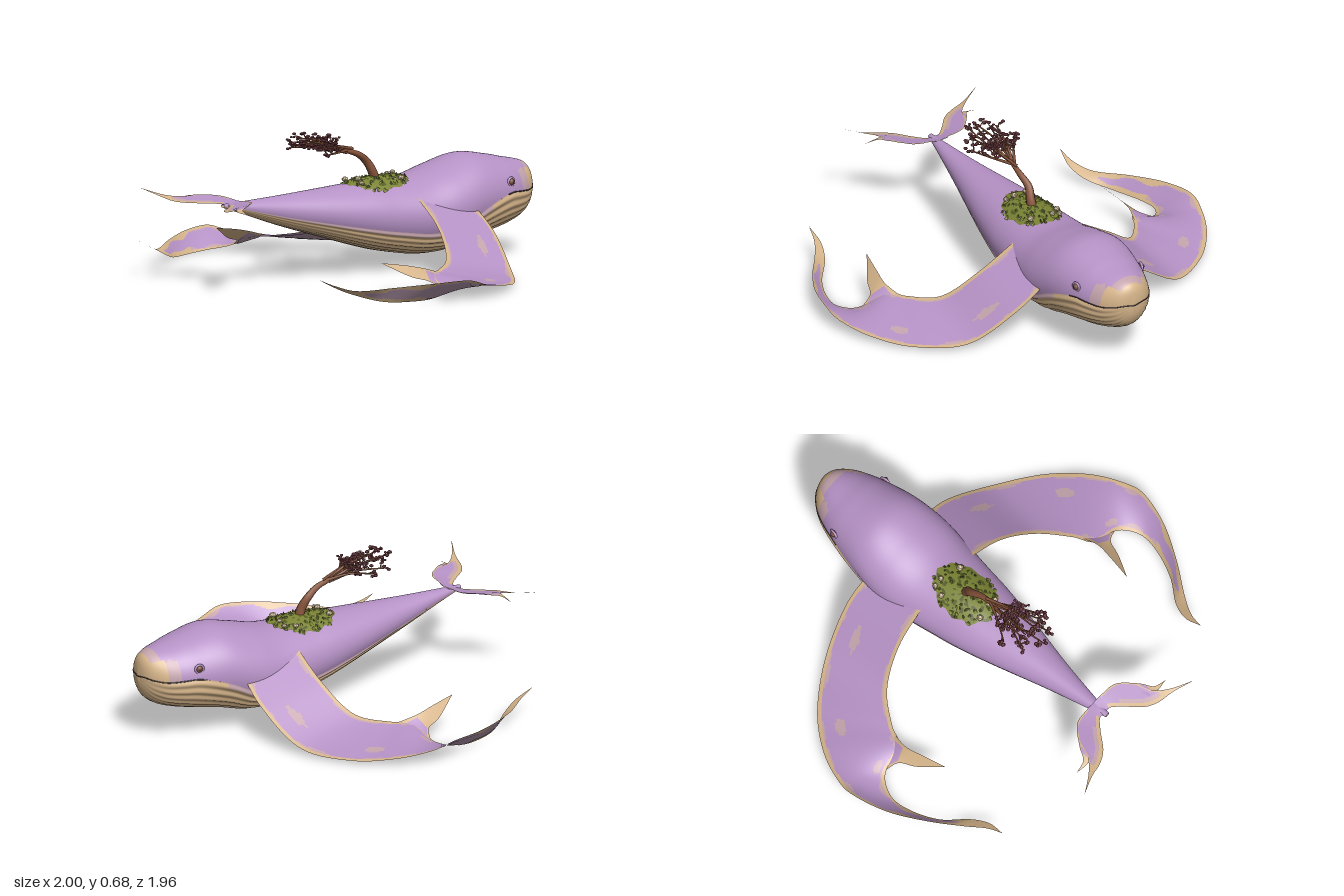
import * as THREE from 'three';
import { mergeGeometries } from 'three/addons/utils/BufferGeometryUtils.js';

const V = (x, y, z) => new THREE.Vector3(x, y, z);
const material = (name, color, side = THREE.FrontSide) => Object.assign(new THREE.MeshStandardMaterial({ color, side }), { name });
const spline = (pts) => new THREE.CatmullRomCurve3(pts.map((p) => V(...p)), false, 'catmullrom', 0.5);

// Surface over a u/v grid; pick(u, v) chooses the material index of each cell.
function sheet(nu, nv, point, pick = () => 0) {
  const pos = [], cells = [];
  for (let i = 0; i <= nu; i++) for (let j = 0; j <= nv; j++) pos.push(...point(i / nu, j / nv).toArray());
  for (let i = 0; i < nu; i++) for (let j = 0; j < nv; j++) {
    const a = i * (nv + 1) + j, b = a + nv + 1, m = pick((i + 0.5) / nu, (j + 0.5) / nv);
    (cells[m] ??= []).push(a, a + 1, b, a + 1, b + 1, b);
  }
  const geo = new THREE.BufferGeometry();
  geo.setAttribute('position', new THREE.Float32BufferAttribute(pos, 3));
  const index = [];
  cells.forEach((c, m) => { geo.addGroup(index.length, c.length, m); for (const k of c) index.push(k); });
  geo.setIndex(index);
  geo.computeVertexNormals();
  return geo;
}

// Sheet between two edges; pick also receives the local width
function strip(lead, trail, pick, n) {
  const a = spline(lead), b = spline(trail);
  return sheet(n, 36, (u, v) => a.getPoint(u).lerp(b.getPoint(u), v),
    (u, v) => pick(u, v, a.getPoint(u).distanceTo(b.getPoint(u))));
}

// Tapered limb along a curve
function limb(pts, r0, r1, n = 8, sides = 7) {
  const curve = spline(pts), geo = new THREE.TubeGeometry(curve, n, 1, sides);
  const p = geo.attributes.position, v = V(0, 0, 0);
  for (let i = 0; i < p.count; i++) {
    const t = Math.floor(i / (sides + 1)) / n, c = curve.getPointAt(t);
    v.fromBufferAttribute(p, i).sub(c).multiplyScalar(r0 + (r1 - r0) * t).add(c);
    p.setXYZ(i, v.x, v.y, v.z);
  }
  return geo;
}

// Body stations: z, top, bottom, half width, angle where belly meets back (degrees)
const stations = [
  [-0.985, 0.34, 0.3, 0, 0], [-0.975, 0.395, 0.255, 0.048, 0], [-0.95, 0.425, 0.21, 0.09, 0],
  [-0.9, 0.442, 0.175, 0.132, 1], [-0.83, 0.457, 0.15, 0.165, 4], [-0.75, 0.476, 0.13, 0.19, 4],
  [-0.6, 0.499, 0.1, 0.222, -9], [-0.45, 0.466, 0.063, 0.238, -20], [-0.3, 0.428, 0.06, 0.226, -22],
  [-0.13, 0.42, 0.088, 0.2, -21], [0, 0.418, 0.12, 0.18, -21], [0.19, 0.41, 0.178, 0.14, -21],
  [0.45, 0.4, 0.26, 0.077, -19], [0.66, 0.394, 0.335, 0.034, -12], [0.775, 0.392, 0.375, 0.012, 0],
];
const curveA = spline(stations.map((s) => [s[0], s[1], s[2]]));
const curveB = spline(stations.map((s) => [s[3], s[4], 0]));
function section(u) {
  const a = curveA.getPoint(u), b = curveB.getPoint(u);
  return { z: a.x, mid: (a.y + a.z) / 2, h: (a.y - a.z) / 2, w: Math.max(b.x, 0), phi: THREE.MathUtils.degToRad(b.y) };
}
const around = (s, t, k = 1) => V(s.w * k * Math.cos(t), s.mid + s.h * k * Math.sin(t), s.z);
function uAt(z) {
  let lo = 0, hi = 1;
  for (let i = 0; i < 24; i++) { const m = (lo + hi) / 2; if (section(m).z < z) lo = m; else hi = m; }
  return lo;
}
function backHeight(x, z) {
  const s = section(uAt(z));
  return s.mid + s.h * Math.sqrt(Math.max(0, 1 - (x / s.w) ** 2));
}

export function createModel() {
  const model = new THREE.Group();
  const purple = material('purple skin', 0xb692c6, THREE.DoubleSide);
  const mauve = material('dusky mauve underside', 0xb296aa, THREE.DoubleSide);
  const tan = material('tan skin', 0xd4b389, THREE.DoubleSide);
  const blush = material('blush skin', 0xc4a4ac, THREE.DoubleSide);
  const dark = material('dark crease', 0x43343a);
  const moss = material('moss green', 0x7b8434, THREE.DoubleSide);
  const deepMoss = material('deep moss', 0x545c24, THREE.DoubleSide);
  const bark = material('bark brown', 0x86533a);
  const maroon = material('maroon leaf', 0x7a3a42);
  const stone = material('pale stone', 0xdccaa4);
  const skins = [purple, tan, blush];
  let seed = 7;
  const rand = (a = 0, b = 1) => { seed = (seed * 16807) % 2147483647; return a + (b - a) * seed / 2147483647; };
  const add = (name, geo, mat, parent = model) => {
    const m = new THREE.Mesh(geo, mat);
    m.name = name;
    parent.add(m);
    return m;
  };
  // Thin skin: coloured top, with a duskier layer just below the purple area
  const addSkin = (name, geo, parent) => {
    add(name, geo, skins, parent);
    const g = geo.groups.find((e) => e.materialIndex === 0), under = geo.clone();
    under.clearGroups();
    under.setIndex([...geo.index.array.slice(g.start, g.start + g.count)].reverse());
    under.computeVertexNormals();
    add(name + 'Underside', under.translate(0, -0.004, 0), mauve, parent);
  };

  // Back and head, with a pale snout
  add('back', sheet(110, 48, (u, v) => {
    const s = section(u);
    return around(s, s.phi + v * (Math.PI - 2 * s.phi));
  }, (u, v) => {
    const z = section(u).z, side = Math.abs(v - 0.5);
    if (z < -0.955 || (z < -0.9 && side > 0.22)) return 1;
    return z < -0.915 || (z < -0.84 && side > 0.25 + 0.03 * Math.sin(u * 150)) ? 2 : 0;
  }), skins);

  // Belly and lower jaw, pleated lengthwise, blending at its upper border
  add('belly', sheet(84, 120, (u, v) => {
    const s = section(u), fade = Math.min(1, u * 4, (1 - u) * 4);
    const bulge = Math.sin(v * Math.PI * 13) ** 2;
    return around(s, Math.PI - s.phi + v * (Math.PI + 2 * s.phi), 1 + 0.035 * fade * (bulge - 0.5 * Math.sin(v * Math.PI)));
  }, (u, v) => (u > 0.42 && Math.min(v, 1 - v) < 0.045 ? 2 : 1)), skins);

  // Mouth crease
  const mouth = [];
  for (let i = -14; i <= 14; i++) {
    const s = section(Math.abs(i) / 14 * uAt(-0.73)), p = around(s, s.phi);
    mouth.push([i < 0 ? -p.x : p.x, p.y, p.z]);
  }
  add('mouthLine', limb(mouth, 0.003, 0.003, 90, 6), dark);

  // Ragged pale border, tips and spots on the fins
  const finSkin = (u, v, width) => {
    const edge = Math.min(v, 1 - v) * width, wobble = Math.sin(u * 41) + Math.sin(u * 67 + v * 5);
    if (u > 0.84 || edge < 0.018) return 1;
    if (u > 0.45 && edge < 0.029 + 0.008 * wobble) return u > 0.62 ? 1 : 2;
    if (edge < 0.024 + 0.008 * wobble) return 2;
    return [[0.13, 0.34], [0.3, 0.3], [0.43, 0.8]].some(([a, b]) => ((u - a) / 0.022) ** 2 + ((v - b) / 0.07) ** 2 < 1) ? 2 : 0;
  };
  const finLead = [[0.17, 0.3, -0.53], [0.35, 0.18, -0.53], [0.57, 0.04, -0.46], [0.78, 0.02, -0.32], [0.915, 0.04, -0.16],
    [0.985, 0.07, 0], [0.995, 0.1, 0.11], [0.95, 0.095, 0.27], [0.86, 0.08, 0.43], [0.76, 0.065, 0.57], [0.705, 0.09, 0.66], [0.683, 0.125, 0.74]];
  const finTrail = [[0.15, 0.36, -0.22], [0.35, 0.235, -0.2], [0.51, 0.12, -0.13], [0.62, 0.09, 0], [0.67, 0.085, 0.09],
    [0.8, 0.03, 0.12], [0.86, 0.01, 0.21], [0.85, 0.004, 0.32], [0.795, 0.008, 0.45], [0.71, 0.04, 0.56], [0.675, 0.08, 0.65], [0.683, 0.125, 0.74]];
  const spurOuter = [[0.79, 0.035, 0.11], [0.73, 0.065, 0.14], [0.695, 0.09, 0.22], [0.625, 0.155, 0.335]];
  const spurInner = [[0.645, 0.092, 0.04], [0.663, 0.115, 0.12], [0.65, 0.135, 0.21], [0.625, 0.155, 0.335]];
  // Tail fluke outline with its short prong
  const flukeLead = [[0, 0.4, 0.69], [0.05, 0.405, 0.692], [0.13, 0.41, 0.705], [0.19, 0.412, 0.77], [0.22, 0.408, 0.85], [0.28, 0.415, 0.91], [0.375, 0.44, 0.97]];
  const flukeTrail = [[0, 0.385, 0.76], [0.035, 0.387, 0.76], [0.085, 0.388, 0.81], [0.14, 0.39, 0.875], [0.2, 0.394, 0.91], [0.28, 0.41, 0.93], [0.375, 0.44, 0.97]];
  const prongLead = [[0.17, 0.41, 0.74], [0.212, 0.41, 0.795], [0.245, 0.4, 0.845], [0.305, 0.388, 0.86]];
  const prongTrail = [[0.19, 0.402, 0.86], [0.21, 0.402, 0.86], [0.245, 0.392, 0.868], [0.305, 0.388, 0.86]];
  for (const [side, sx] of [['left', 1], ['right', -1]]) {
    const half = new THREE.Group();
    half.name = side + 'Side';
    half.scale.x = sx;
    model.add(half);
    addSkin(side + 'Fin', strip(finLead, finTrail, finSkin, 96), half);
    addSkin(side + 'FinSpur', strip(spurOuter, spurInner, (u, v) => (u < 0.3 && v > 0.12 && v < 0.85 ? 0 : 1), 24), half);
    addSkin(side + 'Fluke', strip(flukeLead, flukeTrail, (u, v, w) => {
      const edge = (1 - v) * w;
      if (u > 0.72 || (u > 0.15 && (edge < 0.02 || v * w < 0.008))) return 1;
      return u > 0.3 && edge < 0.04 ? 2 : 0;
    }, 40), half);
    addSkin(side + 'FlukeProng', strip(prongLead, prongTrail, (u, v) => (v < 0.12 || u > 0.45 ? 1 : 0), 16), half);
    // Eye with lid and pupil
    const lid = add(side + 'EyeLid', new THREE.TorusGeometry(0.019, 0.006, 8, 20), purple, half);
    lid.position.set(0.176, 0.366, -0.76);
    lid.rotation.y = Math.PI / 2 + 0.2;
    add(side + 'Eye', new THREE.SphereGeometry(0.017, 16, 12), bark, half).position.set(0.174, 0.366, -0.76);
    add(side + 'Pupil', new THREE.SphereGeometry(0.008, 12, 8), dark, half).position.set(0.185, 0.367, -0.762);
  }

  // Mossy mound draped over the back, mottled in two greens
  const ground = (r, a) => {
    const x = 0.12 * r * Math.cos(a), z = -0.1 + 0.17 * r * Math.sin(a);
    return V(x, backHeight(x, z) + 0.004 + 0.016 * (1 - r * r), z);
  };
  add('mossMound', sheet(10, 44, (u, v) => ground(u * (1 + 0.05 * Math.sin(v * Math.PI * 22)), v * Math.PI * 2),
    (u, v) => (Math.sin(u * 19 + v * 31) + Math.sin(v * 75 - u * 9) > 0.9 ? 1 : 0)), [moss, deepMoss]);
  const scatter = (count, make) => mergeGeometries(Array.from({ length: count }, () => {
    const p = ground(Math.sqrt(rand()) * 1.02, rand(0, Math.PI * 2));
    return make().rotateX(rand(-0.5, 0.5)).rotateZ(rand(-0.5, 0.5)).translate(p.x, p.y, p.z);
  }));
  add('mossTufts', scatter(60, () => new THREE.ConeGeometry(rand(0.01, 0.016), rand(0.014, 0.026), 5)), moss);
  add('darkTufts', scatter(28, () => new THREE.ConeGeometry(rand(0.007, 0.012), rand(0.014, 0.028), 5)), deepMoss);
  const stones = [[0.95, 4.06], [0.8, 4.4], [0.85, 3.7], [0.9, 0.92], [0.87, 2.06], [0.7, 1.25], [0.85, 5.5]].map(([r, a]) => {
    const p = ground(r, a);
    return new THREE.IcosahedronGeometry(rand(0.013, 0.019), 0).scale(1, 0.8, 1).translate(p.x, p.y + 0.01, p.z);
  });
  add('stones', mergeGeometries(stones), stone);

  // Windswept tree
  add('trunk', limb([[0, 0.41, -0.105], [0.002, 0.46, -0.09], [-0.006, 0.51, -0.06], [0.003, 0.55, 0], [0, 0.578, 0.085]], 0.025, 0.009, 16, 9), bark);
  const branches = [], leaves = [];
  const leafAt = (p, spread) => {
    const r = rand(0.007, 0.012);
    leaves.push(new THREE.IcosahedronGeometry(r, 0).scale(1, 0.7, 1)
      .translate(p.x + rand(-spread, spread), p.y + rand(-spread, spread) * 0.7, p.z + rand(-spread, spread)));
  };
  for (let i = 0; i < 9; i++) {
    const k = i / 4 - 1, start = V(0, 0.555 + 0.022 * rand(), rand(0.02, 0.08));
    const end = V(k * 0.11, 0.58 + (1 - k * k) * rand(0, 0.06) + rand(0, 0.03), rand(0.3, 0.4) - Math.abs(k) * 0.08);
    const bend = start.clone().lerp(end, 0.5).add(V(rand(-0.015, 0.015), rand(0, 0.02), 0));
    branches.push(limb([start, bend, end].map((p) => p.toArray()), 0.008, 0.003, 7, 5));
    for (let j = 0; j < 5; j++) {
      const from = (j < 2 ? start.clone().lerp(bend, 0.8) : bend.clone().lerp(end, (j - 2) * 0.4));
      const tip = from.clone().add(V(rand(-0.04, 0.04), rand(-0.012, 0.042), rand(0, 0.04)));
      branches.push(limb([from, from.clone().lerp(tip, 0.5).add(V(0, 0.006, 0)), tip].map((p) => p.toArray()), 0.004, 0.002, 3, 4));
      for (let n = 0; n < 3; n++) leafAt(tip, 0.014);
    }
    for (let n = 0; n < 3; n++) leafAt(end, 0.016);
  }
  add('branches', mergeGeometries(branches), bark);
  add('leaves', mergeGeometries(leaves), maroon);
  return model;
}
